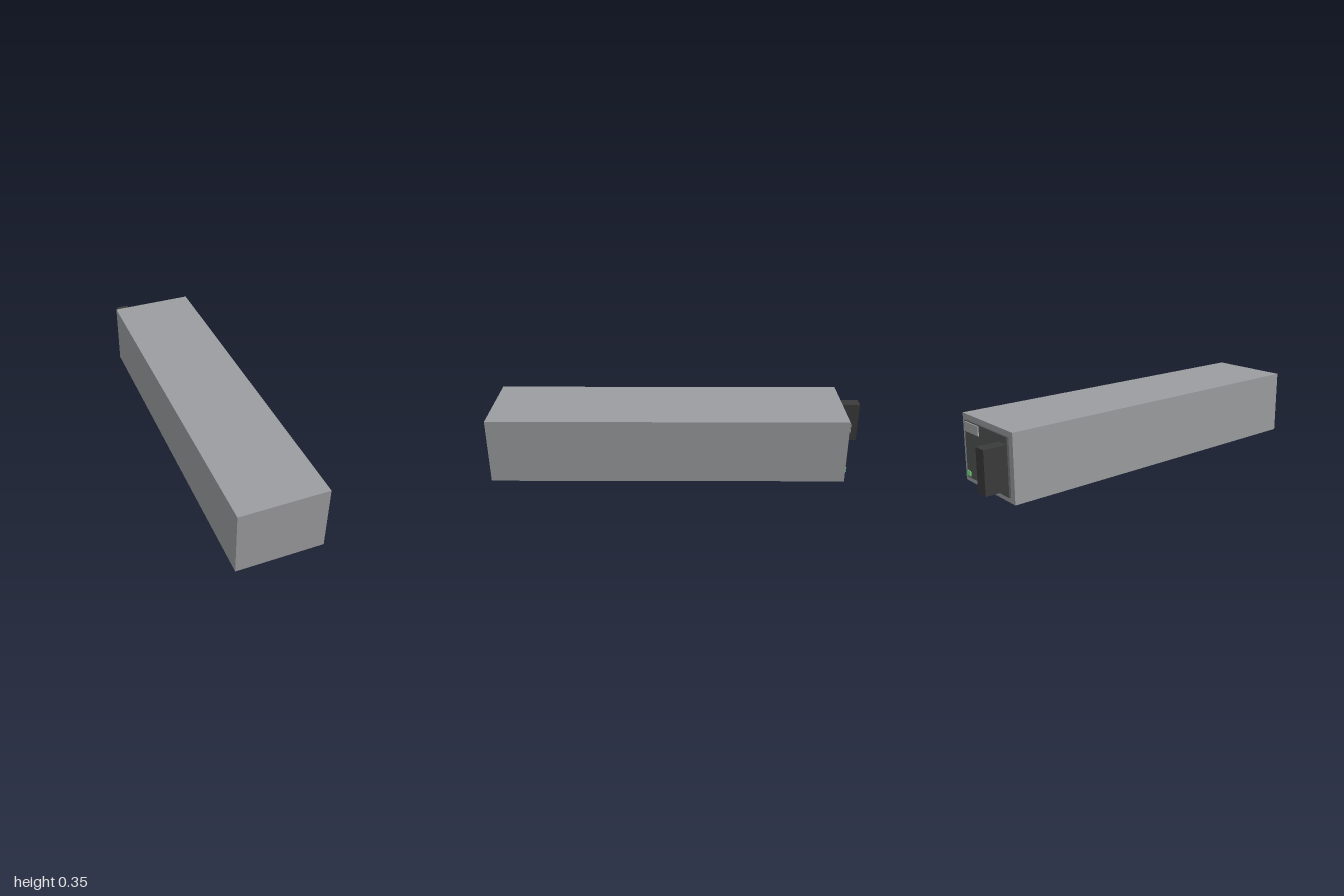
import * as THREE from 'three';

// Box given by its min and max on each axis
function box(name, [x0, x1], [y0, y1], [z0, z1], color) {
  const mesh = new THREE.Mesh(
    new THREE.BoxGeometry(x1 - x0, y1 - y0, z1 - z0),
    new THREE.MeshStandardMaterial({ color })
  );
  mesh.name = name;
  mesh.position.set((x0 + x1) / 2, (y0 + y1) / 2, (z0 + z1) / 2);
  return mesh;
}

export function createModel() {
  const model = new THREE.Group();
  model.name = 'slideInModule';

  // Long plain casing
  model.add(box('casing', [-0.226, 0.226], [0, 0.348], [-0.87, 1], 0x9c9da0));

  // Dark plate on the back end, with a pull handle on its right
  model.add(box('backPlate', [-0.192, 0.192], [0.028, 0.321], [-0.88, -0.86], 0x545657));
  model.add(box('handle', [-0.19, -0.123], [0.065, 0.285], [-1, -0.878], 0x3a3a3c));

  // Raised label in the upper corner
  model.add(box('label', [0.058, 0.184], [0.267, 0.316], [-0.886, -0.878], 0xa6a7a8));

  // Pair of green status lights in the lower corner
  const lights = new THREE.Group();
  lights.name = 'statusLights';
  for (const x of [0.157, 0.174]) {
    lights.add(box('statusLight', [x, x + 0.015], [0.037, 0.063], [-0.884, -0.878], 0x78e682));
  }
  model.add(lights);

  return model;
}
